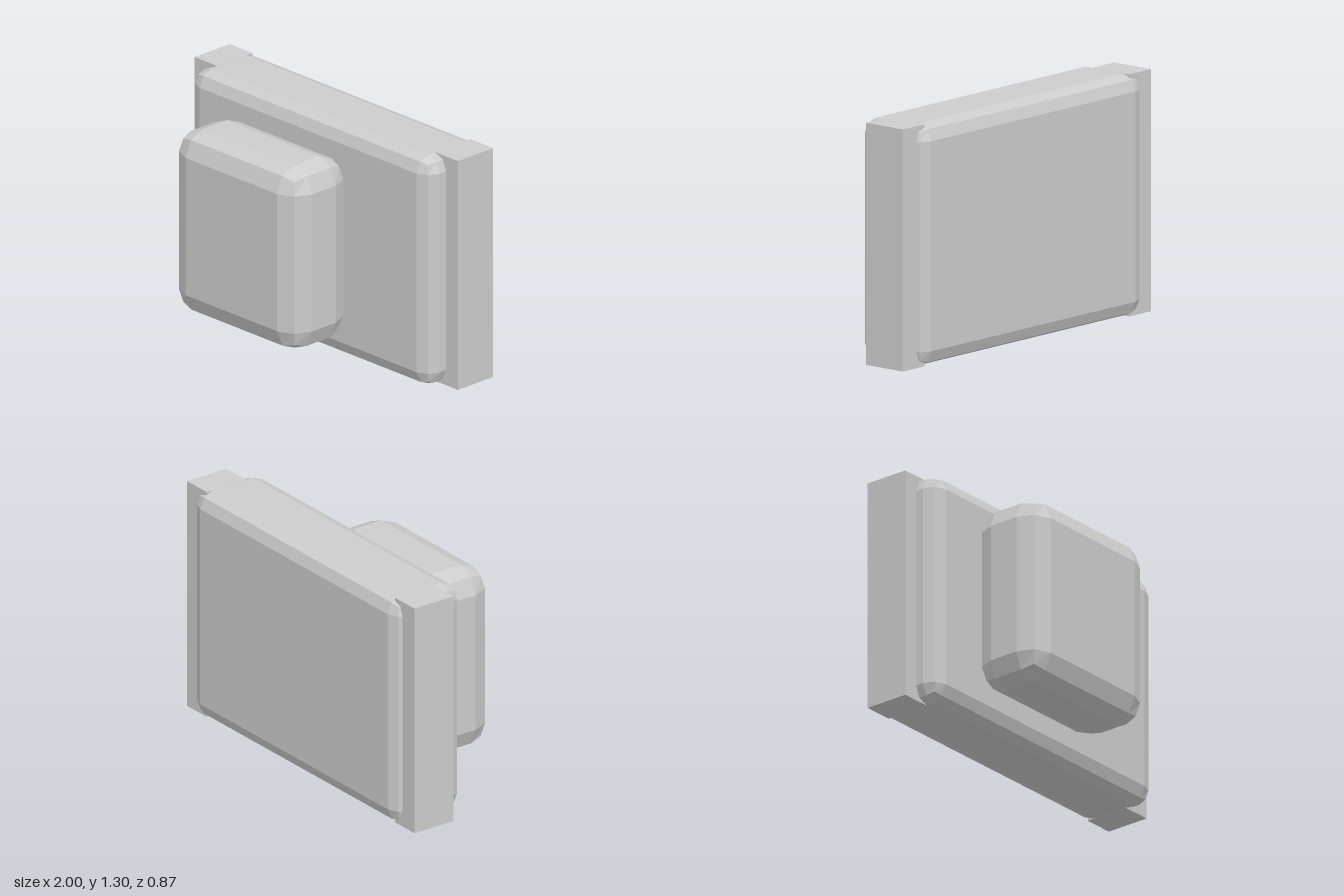
import * as THREE from 'three';
import { RoundedBoxGeometry } from 'three/addons/geometries/RoundedBoxGeometry.js';

export function createModel() {
  const model = new THREE.Group();
  model.name = 'bevelledPanel';

  const grey = new THREE.MeshStandardMaterial({ color: 0xcccccc, flatShading: true });
  grey.name = 'lightGrey';

  // Add a part spanning the box from min to max; a radius gives it two-facet bevels
  function addPart(name, min, max, radius = 0) {
    const size = max.map((v, i) => v - min[i]);
    const geometry = radius
      ? new RoundedBoxGeometry(...size, 1, radius)
      : new THREE.BoxGeometry(...size);
    const mesh = new THREE.Mesh(geometry, grey);
    mesh.name = name;
    mesh.position.set(...max.map((v, i) => (v + min[i]) / 2));
    model.add(mesh);
  }

  const height = 1.305;

  // Wide bevelled slab at the back
  addPart('panel', [-0.91, 0, -0.434], [0.91, height, 0], 0.086);

  // Square-edged blocks closing both ends of the slab
  addPart('rightEndBlock', [-1, 0, -0.39], [-0.826, height, -0.132]);
  addPart('leftEndBlock', [0.826, 0, -0.39], [1, height, -0.132]);

  // Bevelled block standing off-centre against the front
  addPart('frontBlock', [-0.61, 0.133, 0], [0.344, 1.175, 0.434], 0.13);

  return model;
}
